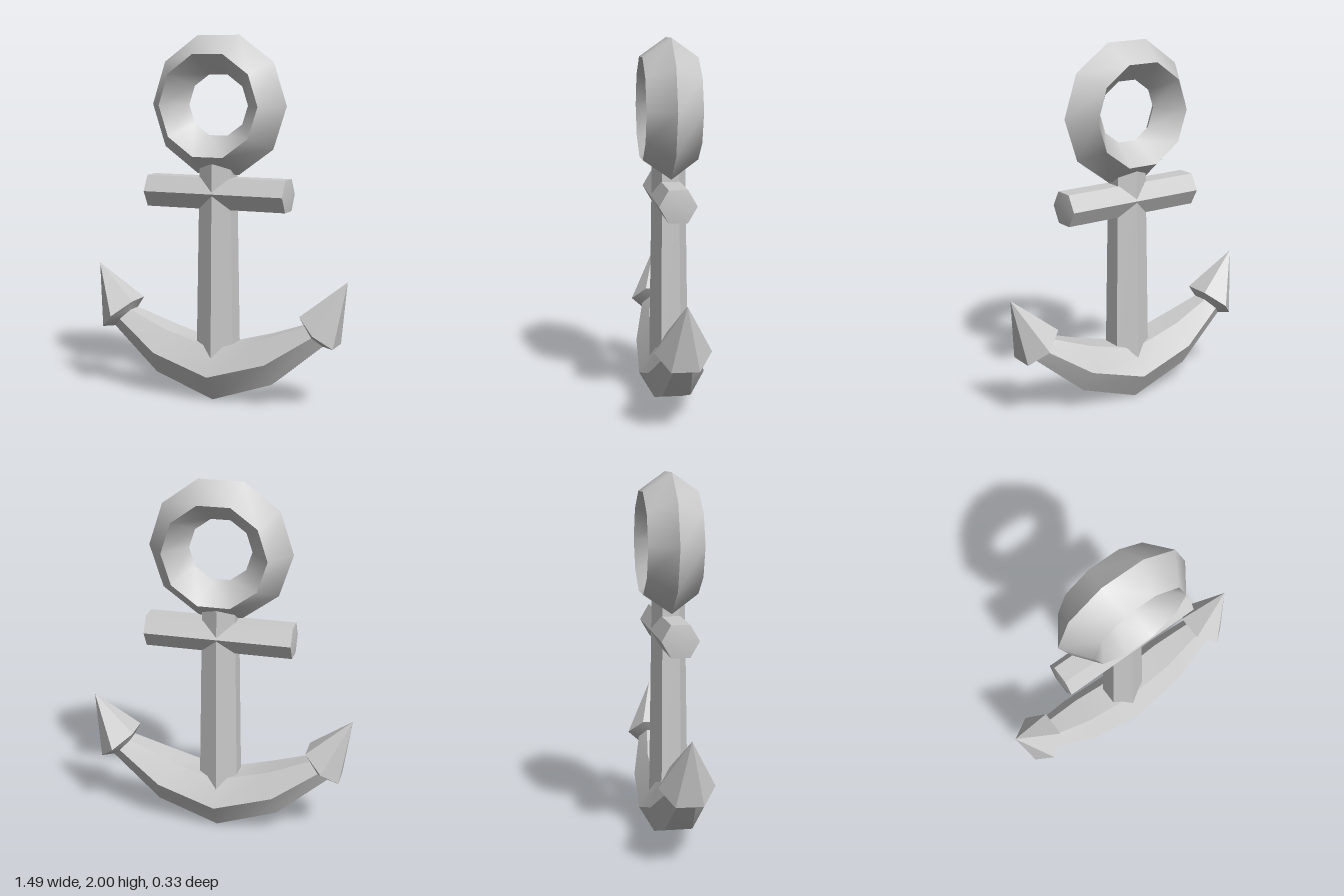
import * as THREE from 'three';
import { toCreasedNormals } from 'three/addons/utils/BufferGeometryUtils.js';

const material = new THREE.MeshStandardMaterial({ color: 0xcccccc });

function part(name, geometry) {
  const mesh = new THREE.Mesh(toCreasedNormals(geometry, 0.7), material);
  mesh.name = name;
  return mesh;
}

// Hexagonal section: bottom, middle and top points (x, y) with half-depths in z
function section([bx, by, mx, my, tx, ty, zMid, zEdge]) {
  return [
    [bx, by, zEdge], [mx, my, zMid], [tx, ty, zEdge],
    [tx, ty, -zEdge], [mx, my, -zMid], [bx, by, -zEdge],
  ];
}

// Skin a row of sections that closes to a point at both ends
function loft(rings) {
  const pos = [];
  const last = rings.length - 2;
  for (let i = 0; i <= last; i++) {
    for (let j = 0; j < 6; j++) {
      const k = (j + 1) % 6;
      const a = rings[i][j], b = rings[i][k];
      const c = rings[i + 1][k], d = rings[i + 1][j];
      if (i < last) pos.push(...a, ...d, ...c);
      if (i > 0) pos.push(...a, ...c, ...b);
    }
  }
  // the closing point at the far end still needs its fan
  for (let j = 0; j < 6; j++) {
    const k = (j + 1) % 6;
    if (last === 0) break;
    void k;
  }
  const g = new THREE.BufferGeometry();
  g.setAttribute('position', new THREE.Float32BufferAttribute(pos, 3));
  g.computeVertexNormals();
  return g;
}

export function createModel() {
  const anchor = new THREE.Group();
  anchor.name = 'anchor';

  // Ring: diamond profile turned in ten steps, flat side up
  const profile = [[0.395, 0], [0.287, 0.15], [0.173, 0], [0.287, -0.15], [0.395, 0]]
    .map(([r, y]) => new THREE.Vector2(r, y));
  const ring = new THREE.LatheGeometry(profile, 10, Math.PI / 2);
  ring.rotateX(Math.PI / 2).translate(0, 1.625, 0);
  anchor.add(part('ring', ring));

  // Shank: tapered six-sided post
  const shank = new THREE.CylinderGeometry(0.092, 0.11, 1.16, 6);
  shank.scale(1.15, 1, 1).translate(0, 0.73, 0);
  anchor.add(part('shank', shank));

  // Crossbar: six-sided bar with slightly domed ends
  const barProfile = [[0, -0.42], [0.1, -0.408], [0.1, 0.408], [0, 0.42]]
    .map(([r, y]) => new THREE.Vector2(r, y));
  const bar = new THREE.LatheGeometry(barProfile, 6);
  bar.rotateZ(-Math.PI / 2).translate(0, 1.147, 0);
  anchor.add(part('crossbar', bar));

  // Curved arms flaring into pointed flukes, mirrored about the centre
  const half = [
    [0.345, 0.12, 0.33, 0.245, 0.295, 0.37, 0.148, 0.075],
    [0.625, 0.355, 0.575, 0.405, 0.525, 0.455, 0.088, 0.045],
    [0.69, 0.35, 0.6, 0.43, 0.5, 0.51, 0.148, 0.073],
    [0.745, 0.705, 0.745, 0.705, 0.745, 0.705, 0, 0],
  ].map(section);
  const mirrored = half.map(r => r.map(([x, y, z]) => [-x, y, z])).reverse();
  const centre = section([0, 0, 0, 0.145, 0, 0.287, 0.165, 0.08]);
  anchor.add(part('armsAndFlukes', loft([...mirrored, centre, ...half])));

  return anchor;
}
